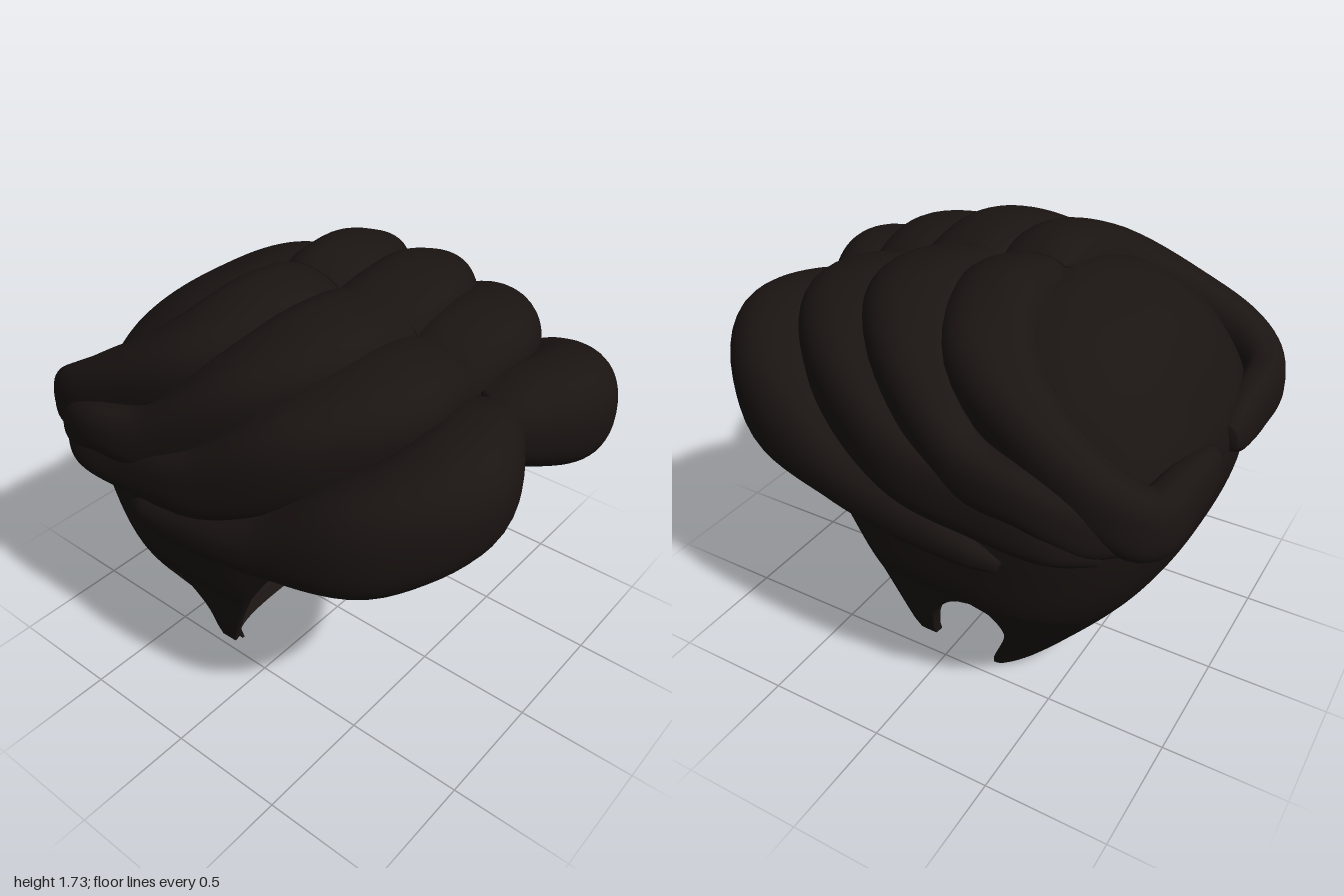
import * as THREE from 'three';

const material = new THREE.MeshStandardMaterial({ color: 0x1a1412, side: THREE.DoubleSide });

// Smooth interpolation through [y, value] pairs
function table(pts) {
  const n = pts.length;
  const slope = i => {
    const a = pts[Math.max(i - 1, 0)], b = pts[Math.min(i + 1, n - 1)];
    return (b[1] - a[1]) / (b[0] - a[0]);
  };
  return y => {
    if (y <= pts[0][0]) return pts[0][1];
    if (y >= pts[n - 1][0]) return pts[n - 1][1];
    let i = 0;
    while (y > pts[i + 1][0]) i++;
    const [y0, v0] = pts[i], [y1, v1] = pts[i + 1];
    const d = y1 - y0, t = (y - y0) / d, t2 = t * t, t3 = t2 * t;
    return (2 * t3 - 3 * t2 + 1) * v0 + (t3 - 2 * t2 + t) * d * slope(i)
      + (3 * t2 - 2 * t3) * v1 + (t3 - t2) * d * slope(i + 1);
  };
}

// Skin over a list of closed loops of equal length
function loft(name, rows) {
  const m = rows[0].length, index = [];
  for (let r = 0; r < rows.length - 1; r++) {
    for (let c = 0; c < m; c++) {
      const a = r * m + c, b = r * m + (c + 1) % m;
      index.push(a, a + m, b, b, a + m, b + m);
    }
  }
  const g = new THREE.BufferGeometry().setFromPoints(rows.flat());
  g.setIndex(index);
  g.computeVertexNormals();
  const mesh = new THREE.Mesh(g, material);
  mesh.name = name;
  return mesh;
}

// Cap measurements by height
const width = table([[0, 0.43], [0.1, 0.46], [0.25, 0.53], [0.43, 0.64], [0.58, 0.725], [0.8, 0.765], [1, 0.78],
  [1.2, 0.76], [1.4, 0.64], [1.5, 0.53], [1.58, 0.4], [1.63, 0.25], [1.655, 0.12], [1.66, 0]]);
const burnWidth = table([[0.29, 0.66], [0.35, 0.68], [0.58, 0.725]]);
const back = table([[0, -0.3], [0.02, -0.35], [0.06, -0.41], [0.15, -0.5], [0.34, -0.655], [0.55, -0.8], [0.75, -0.9],
  [0.95, -0.945], [1.15, -0.92], [1.28, -0.86], [1.43, -0.76], [1.56, -0.6], [1.63, -0.45], [1.655, -0.36], [1.66, -0.3]]);
const front = table([[0, 0.62], [1.2, 0.62], [1.4, 0.4], [1.55, 0.1], [1.63, -0.1], [1.655, -0.22], [1.66, -0.3]]);
const middle = table([[0, -0.2], [1.4, -0.2], [1.66, -0.3]]);
const thickness = table([[0, 0.012], [0.2, 0.03], [0.58, 0.045], [0.85, 0.075], [1.66, 0.075]]);

// Hem lines: z by height
const faceEdge = table([[0.29, 0], [0.48, 0.08], [0.66, 0.17], [0.86, 0.3], [1, 0.44], [1.15, 0.62]]);
const napeEdge = table([[0, -0.2], [0.05, -0.21], [0.2, -0.28], [0.35, -0.335], [0.5, -0.345], [0.55, -0.33], [0.58, -0.27]]);
const burnEdge = table([[0.29, -0.07], [0.35, -0.075], [0.45, -0.1], [0.53, -0.16], [0.57, -0.22], [0.58, -0.27]]);

// Angle round the cap (0 = back, PI = front) at which a section reaches z
const power = ahead => (ahead ? 3 : 2.75);
function angleAt(z, y) {
  const c = middle(y), ahead = z > c;
  const depth = ahead ? front(y) - c : c - back(y);
  const u = depth > 0 ? Math.min(Math.abs(z - c) / depth, 1) : 1;
  const k = Math.pow(u, power(ahead) / 2);
  return Math.acos(ahead ? -k : k);
}

// Point on the cap, set in by t
function capPoint(a, y, t, w) {
  const c = middle(y), cos = Math.cos(a), sin = Math.sin(a), ahead = cos < 0;
  const e = 2 / power(ahead);
  const depth = Math.max((ahead ? front(y) - c : c - back(y)) - t, 0);
  return new THREE.Vector3(
    Math.max(w(y) - t, 0) * Math.sign(sin) * Math.pow(Math.abs(sin), e),
    y - t * THREE.MathUtils.clamp((y - 1.2) / 0.4, 0, 1),
    c - depth * Math.sign(cos) * Math.pow(Math.abs(cos), e));
}

// Thick piece of the cap between two heights and two angle functions
function capPiece(name, y0, y1, rowCount, cols, from, to, w = width, ease = t => t) {
  const rows = [];
  for (let r = 0; r <= rowCount; r++) {
    const y = y0 + (y1 - y0) * ease(r / rowCount);
    const t = thickness(y), a = from(y), b = to(y), outer = [], inner = [];
    for (let c = 0; c <= cols; c++) {
      const f = a + (b - a) * c / cols;
      outer.push(capPoint(f, y, 0, w));
      inner.unshift(capPoint(f, y, t, w));
    }
    rows.push([...outer, ...inner]);
  }
  return loft(name, rows);
}

// Tapering roll of hair; each station is [x, y, z, half height, half thickness].
// The section leans with the head: down and out at the parting, the other way at the tail.
function roll(name, { stations, tilt, box }, side) {
  const path = new THREE.CatmullRomCurve3(stations.map(s => new THREE.Vector3(side * s[0], s[1], s[2])));
  const size = new THREE.CatmullRomCurve3(stations.map(s => new THREE.Vector3(s[3], s[4], 0)));
  const rows = [], steps = 56, around = 40, up = new THREE.Vector3(0, 1, 0);
  const ring = (t, k) => {
    const p = path.getPoint(t), s = size.getPoint(t), dir = path.getTangent(t);
    const out = dir.clone().cross(up).normalize().multiplyScalar(side);
    const rise = out.clone().cross(dir).normalize().multiplyScalar(side);
    const lean = tilt * (1 - 2 * t);
    const loop = [];
    for (let i = 0; i < around; i++) {
      const a = side * i / around * Math.PI * 2, c = Math.cos(a), n = Math.sin(a);
      const u = k * s.y * Math.sign(c) * Math.pow(Math.abs(c), box);
      const v = k * s.x * Math.sign(n) * Math.pow(Math.abs(n), box);
      loop.push(p.clone()
        .addScaledVector(out, u * Math.cos(lean) + v * Math.sin(lean))
        .addScaledVector(rise, v * Math.cos(lean) - u * Math.sin(lean)));
    }
    rows.push(loop);
  };
  ring(0, 0);
  for (let i = 0; i <= steps; i++) ring(i / steps, 1);
  ring(1, 0);
  return loft(name, rows);
}

const rolls = {
  frontRoll: { tilt: 0, box: 0.85, stations: [[0, 1.31, 0.66, 0.12, 0.15], [0.13, 1.3, 0.73, 0.18, 0.18],
    [0.37, 1.26, 0.79, 0.22, 0.21], [0.6, 1.14, 0.62, 0.22, 0.18], [0.67, 0.995, 0.27, 0.14, 0.16],
    [0.715, 0.92, -0.07, 0.11, 0.125], [0.745, 0.875, -0.32, 0.07, 0.075], [0.75, 0.84, -0.42, 0.035, 0.025]] },
  secondRoll: { tilt: 0.28, box: 0.8, stations: [[0, 1.36, 0.46, 0.17, 0.19], [0.12, 1.4, 0.46, 0.2, 0.21],
    [0.31, 1.42, 0.46, 0.2, 0.22], [0.56, 1.33, 0.3, 0.2, 0.18], [0.725, 1.15, 0, 0.15, 0.11],
    [0.77, 1.09, -0.35, 0.12, 0.075], [0.765, 1.05, -0.62, 0.09, 0.07], [0.7, 1.03, -0.78, 0.06, 0.05]] },
  thirdRoll: { tilt: 0.2, box: 0.8, stations: [[0, 1.49, 0.17, 0.17, 0.22], [0.12, 1.5, 0.17, 0.19, 0.23],
    [0.3, 1.5, 0.16, 0.2, 0.23], [0.53, 1.43, 0.04, 0.18, 0.18], [0.73, 1.23, -0.25, 0.13, 0.1],
    [0.775, 1.19, -0.53, 0.1, 0.08], [0.73, 1.11, -0.73, 0.1, 0.06], [0.66, 1.09, -0.84, 0.08, 0.05]] },
  crownRoll: { tilt: 0.22, box: 0.8, stations: [[0, 1.52, -0.13, 0.16, 0.18], [0.1, 1.525, -0.13, 0.19, 0.2],
    [0.25, 1.525, -0.14, 0.2, 0.2], [0.48, 1.46, -0.23, 0.18, 0.18], [0.64, 1.32, -0.51, 0.14, 0.12],
    [0.67, 1.19, -0.76, 0.13, 0.1], [0.59, 1.1, -0.89, 0.13, 0.09], [0.34, 1.085, -0.92, 0.12, 0.075],
    [0.14, 1.08, -0.925, 0.09, 0.06], [0.07, 1.08, -0.925, 0.05, 0.04]] },
};

export function createModel() {
  const model = new THREE.Group();
  model.name = 'hairpiece';

  // Cap with dome, and the nape below it
  const face = y => (y >= 1.15 ? Math.PI : angleAt(faceEdge(y), y));
  model.add(capPiece('cap', 0.58, 1.66, 60, 96, y => -face(y), face, width, t => 1 - Math.pow(1 - t, 1.8)));
  const nape = y => angleAt(napeEdge(y), y);
  model.add(capPiece('nape', 0, 0.58, 40, 72, y => -nape(y), nape));

  // Sideburns
  const burnBack = y => angleAt(burnEdge(y), y);
  model.add(capPiece('leftSideburn', 0.29, 0.58, 24, 16, burnBack, face, burnWidth));
  model.add(capPiece('rightSideburn', 0.29, 0.58, 24, 16, y => -face(y), y => -burnBack(y), burnWidth));

  // Swept rolls, mirrored about the parting
  for (const [name, shape] of Object.entries(rolls)) {
    const pair = new THREE.Group();
    pair.name = name + 'Pair';
    for (const side of [1, -1]) pair.add(roll(name, shape, side));
    model.add(pair);
  }
  return model;
}
